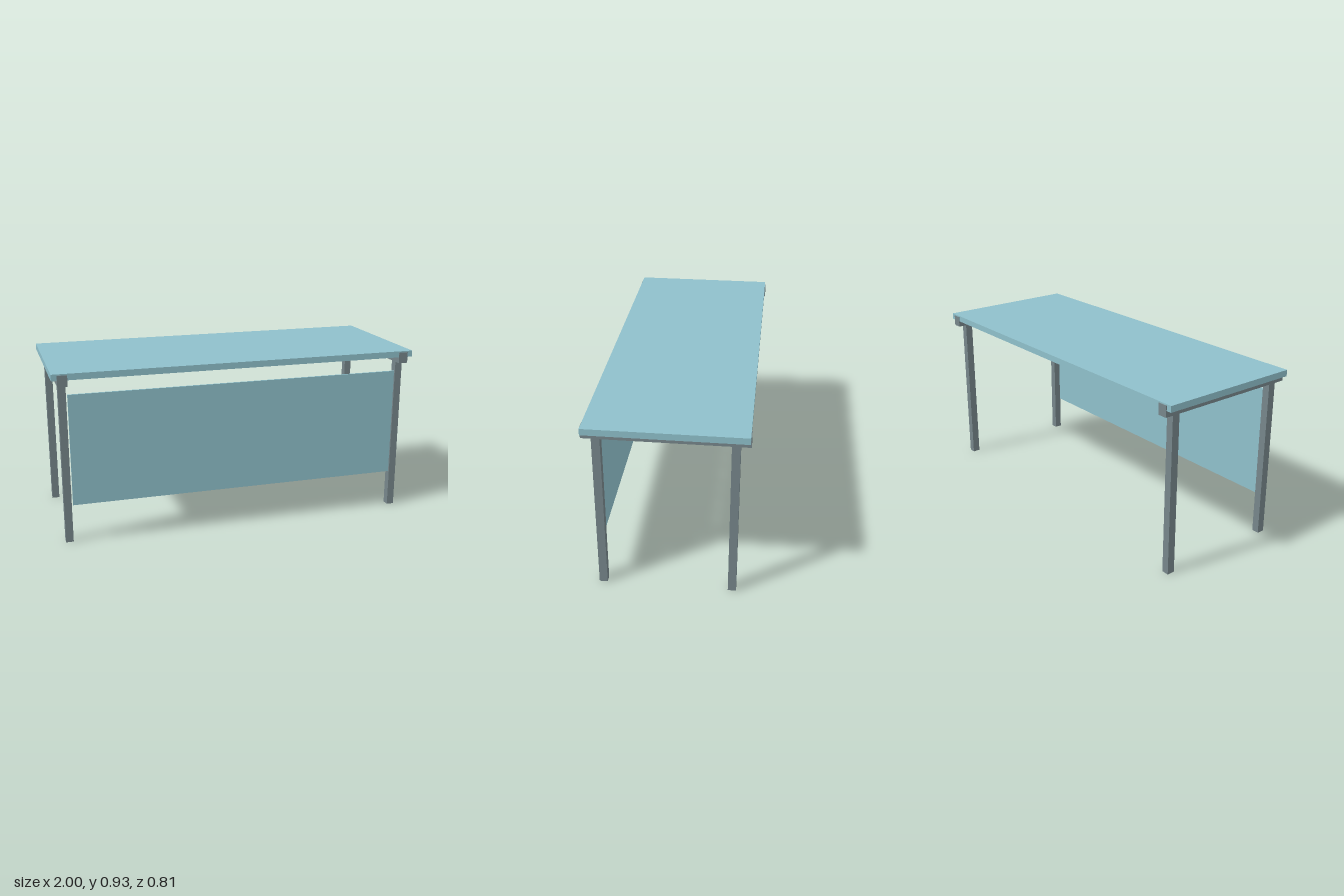
import * as THREE from 'three';

export function createModel() {
  const model = new THREE.Group();
  model.name = 'desk';

  const paleBlue = new THREE.MeshStandardMaterial({ color: 0x8fc0cb });
  paleBlue.name = 'paleBlue';
  const steelGrey = new THREE.MeshStandardMaterial({ color: 0x76868a });
  steelGrey.name = 'steelGrey';

  // Box given by its minimum and maximum on each axis
  function addBox(name, material, [x0, x1], [y0, y1], [z0, z1]) {
    const mesh = new THREE.Mesh(new THREE.BoxGeometry(x1 - x0, y1 - y0, z1 - z0), material);
    mesh.position.set((x0 + x1) / 2, (y0 + y1) / 2, (z0 + z1) / 2);
    mesh.name = name;
    model.add(mesh);
  }

  // Tabletop and front modesty panel
  addBox('tabletop', paleBlue, [-1, 1], [0.898, 0.932], [-0.4, 0.4]);
  addBox('modestyPanel', paleBlue, [-0.918, 0.918], [0.209, 0.811], [0.347, 0.357]);

  // Each end: a cross rail let into the tabletop, carried on two square legs
  for (const [side, sx] of [['left', 1], ['right', -1]]) {
    const x = 0.945 * sx;
    addBox(side + 'Rail', steelGrey, [x - 0.026, x + 0.026], [0.865, 0.925], [-0.404, 0.404]);
    for (const [end, sz] of [['Front', 1], ['Back', -1]]) {
      const z = 0.333 * sz;
      addBox(side + end + 'Leg', steelGrey, [x - 0.02, x + 0.02], [0, 0.865], [z - 0.021, z + 0.021]);
    }
  }

  return model;
}
